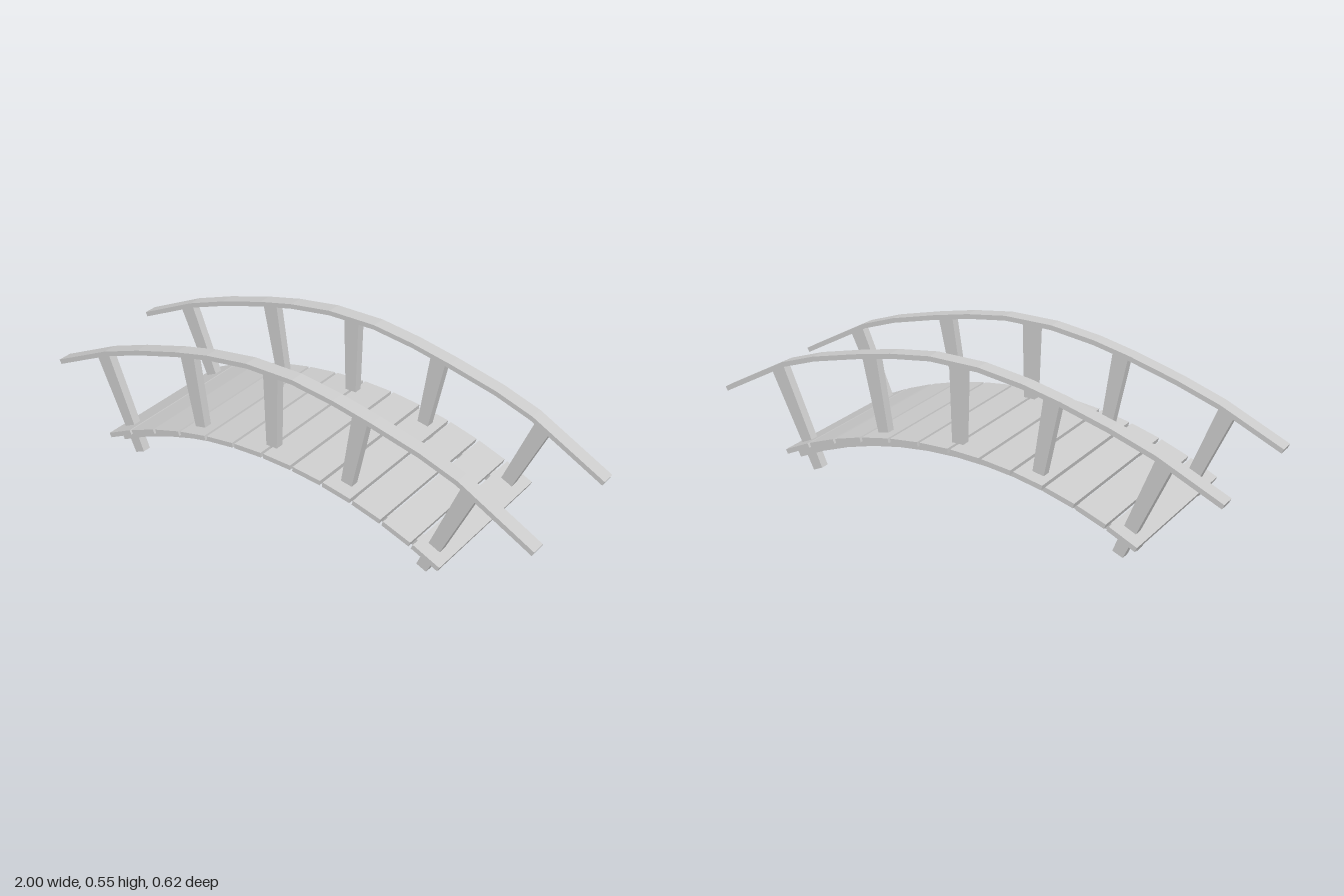
import * as THREE from 'three';

const material = new THREE.MeshStandardMaterial({ color: 0xcccccc, flatShading: true });
const MID_X = -0.02; // crown of the arch
const ARC_Y = -1.3045; // centre height of the deck arc
const HALF_ANGLE = THREE.MathUtils.degToRad(27);

// Extrude an outline in the xy plane to a given width, centred on z
function slab(name, outline, width, z) {
  const geometry = new THREE.ExtrudeGeometry(new THREE.Shape(outline), { depth: width, bevelEnabled: false });
  geometry.translate(0, 0, z - width / 2);
  const mesh = new THREE.Mesh(geometry, material);
  mesh.name = name;
  return mesh;
}

// Outline of a strip following a centre line, with a thickness at each end
function strip(points, startThickness, endThickness = startThickness) {
  const upper = [], lower = [];
  points.forEach((p, i) => {
    const a = points[Math.max(i - 1, 0)];
    const b = points[Math.min(i + 1, points.length - 1)];
    const dir = b.clone().sub(a).normalize();
    const t = THREE.MathUtils.lerp(startThickness, endThickness, i / (points.length - 1)) / 2;
    const offset = new THREE.Vector2(-dir.y, dir.x).multiplyScalar(t);
    upper.push(p.clone().add(offset));
    lower.push(p.clone().sub(offset));
  });
  return [...lower, ...upper.reverse()];
}

const arcPoint = (radius, angle) =>
  new THREE.Vector2(MID_X + radius * Math.sin(angle), ARC_Y + radius * Math.cos(angle));
const toPoints = (list) => list.map(([x, y]) => new THREE.Vector2(x, y));

export function createModel() {
  const bridge = new THREE.Group();
  bridge.name = 'archedFootbridge';

  // Deck planks fanned along the arc
  const deck = new THREE.Group();
  deck.name = 'deck';
  const plankCount = 12, pitch = THREE.MathUtils.degToRad(4.56);
  const plankGeometry = new THREE.BoxGeometry(0.113, 0.018, 0.616);
  for (let i = 0; i < plankCount; i++) {
    const angle = (i - (plankCount - 1) / 2) * pitch;
    const p = arcPoint(1.55, angle);
    const plank = new THREE.Mesh(plankGeometry, material);
    plank.name = 'plank';
    plank.position.set(p.x, p.y, 0);
    plank.rotation.z = -angle;
    deck.add(plank);
  }
  bridge.add(deck);

  // Curved bearer under the planks
  const beamLine = [];
  for (let i = 0; i <= 12; i++) beamLine.push(arcPoint(1.525, (i / 6 - 1) * HALF_ANGLE));

  // Handrail centre line
  const railLine = toPoints([
    [-0.996, 0.281], [-0.76, 0.388], [-0.6, 0.442], [-0.42, 0.492], [-0.28, 0.523], [-0.11, 0.546],
    [0.08, 0.546], [0.24, 0.523], [0.39, 0.491], [0.575, 0.445], [0.715, 0.396], [0.996, 0.243],
  ]);

  // Posts: foot and head; the outer ones reach the ground
  const posts = [
    [[-0.637, 0.009], [-0.788, 0.373]],
    [[-0.332, 0.2], [-0.383, 0.495]],
    [[-0.02, 0.22], [-0.02, 0.545]],
    [[0.286, 0.2], [0.342, 0.498]],
    [[0.592, 0.009], [0.757, 0.373]],
  ];

  for (const side of [1, -1]) {
    const half = new THREE.Group();
    half.name = side > 0 ? 'frontSide' : 'backSide';
    half.add(slab('deckBeam', strip(beamLine, 0.03), 0.042, side * 0.237));
    half.add(slab('handrail', strip(railLine, 0.018), 0.055, side * 0.241));
    for (const ends of posts) half.add(slab('post', strip(toPoints(ends), 0.042, 0.061), 0.033, side * 0.237));
    bridge.add(half);
  }
  return bridge;
}
